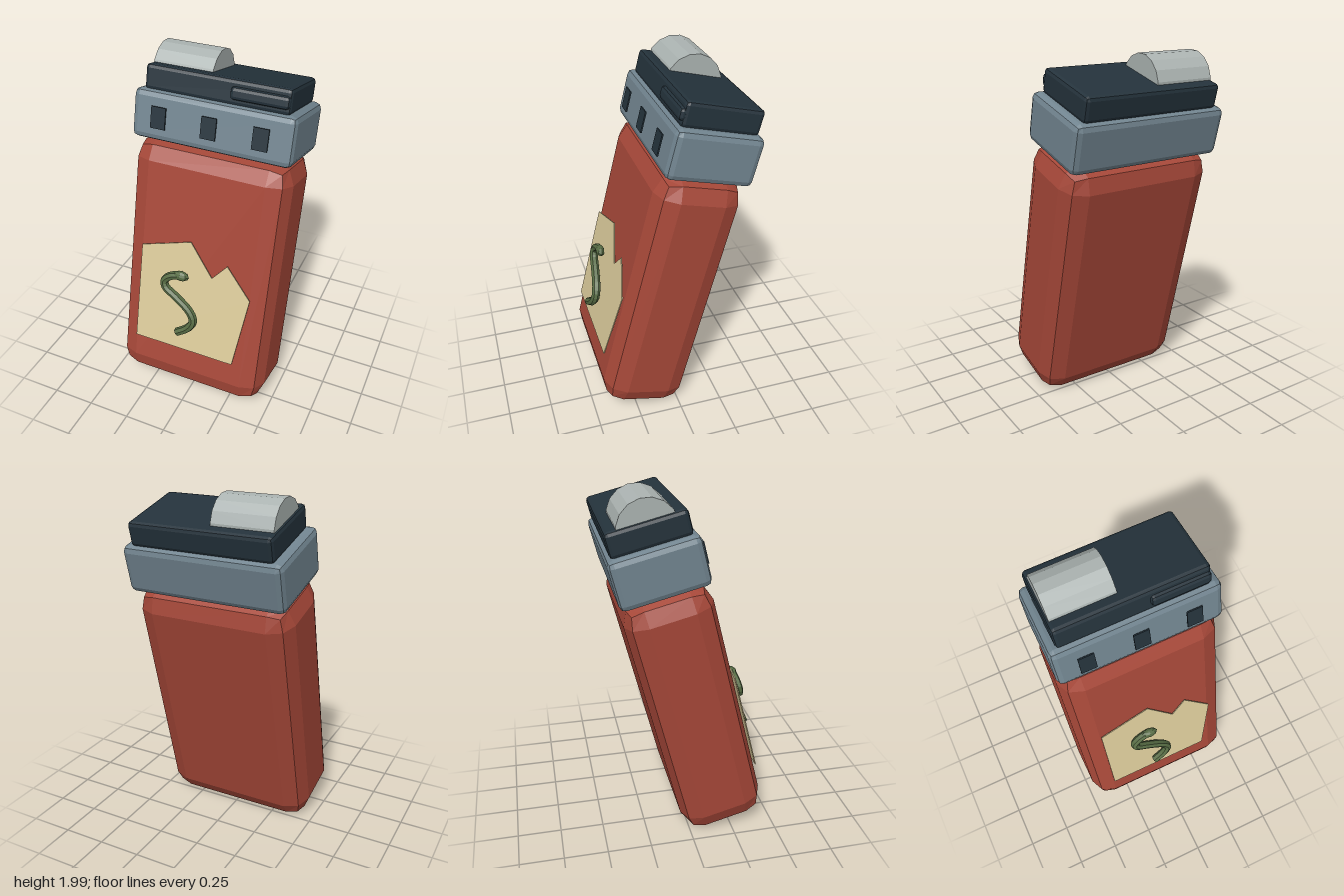
import * as THREE from 'three';

const paint = (name, color, side = THREE.FrontSide) => {
  const m = new THREE.MeshStandardMaterial({ color, side });
  m.name = name;
  return m;
};

// Faceted normals for crisp low-poly shading
function faceted(geometry) {
  const g = geometry.toNonIndexed();
  g.computeVertexNormals();
  return g;
}

// Box whose edges are bevelled with two facets of radius r
function bevelBox(w, h, d, r) {
  const g = new THREE.BoxGeometry(1, 1, 1, 3, 3, 3);
  const p = g.attributes.position;
  const v = new THREE.Vector3();
  const dir = new THREE.Vector3();
  const onFace = (c) => (Math.abs(c) > 0.4 ? Math.sign(c) : 0);
  for (let i = 0; i < p.count; i++) {
    v.fromBufferAttribute(p, i);
    dir.set(onFace(v.x), onFace(v.y), onFace(v.z)).normalize();
    p.setXYZ(i,
      Math.sign(v.x) * (w / 2 - r) + dir.x * r,
      Math.sign(v.y) * (h / 2 - r) + dir.y * r,
      Math.sign(v.z) * (d / 2 - r) + dir.z * r);
  }
  return faceted(g);
}

export function createModel() {
  const red = paint('red casing', 0xa54738);
  const steel = paint('blue grey collar', 0x71848f);
  const dark = paint('dark slate', 0x24323b);
  const silver = paint('silver wheel', 0xabb3b1);
  const cream = paint('cream label', 0xd9c999);
  const green = paint('snake green', 0x566b43);

  const model = new THREE.Group();
  const lighter = new THREE.Group();
  lighter.name = 'lighter';
  lighter.rotation.x = -THREE.MathUtils.degToRad(14); // leans backwards
  model.add(lighter);

  const add = (name, geometry, material, x = 0, y = 0, z = 0, parent = lighter) => {
    const mesh = new THREE.Mesh(geometry, material);
    mesh.name = name;
    mesh.position.set(x, y, z);
    parent.add(mesh);
    return mesh;
  };

  // Casing, collar and cap
  add('body', bevelBox(0.93, 1.5, 0.494, 0.12), red, 0, 0.732, 0.227);
  add('collar', bevelBox(0.93, 0.275, 0.49, 0.035), steel, 0, 1.618, 0.23);
  add('cap', bevelBox(0.83, 0.14, 0.434, 0.022), dark, 0, 1.818, 0.23);
  add('button', bevelBox(0.325, 0.07, 0.05, 0.02), dark, 0.248, 1.816, 0.442);

  // Spark wheel, lying along x
  const wheel = new THREE.CylinderGeometry(0.16, 0.16, 0.35, 16);
  wheel.rotateZ(Math.PI / 2);
  add('sparkWheel', faceted(wheel), silver, -0.225, 1.84, 0.23);

  // Vent plates on the collar front
  for (const x of [-0.296, 0, 0.292]) {
    add('vent', new THREE.BoxGeometry(0.087, 0.12, 0.008), dark, x, 1.616, 0.493);
  }

  // Torn paper label
  const outline = [
    [-0.34, 0.251], [0.29, 0.251], [0.35, 0.689], [0.195, 0.863],
    [0.11, 0.765], [-0.037, 0.951], [-0.34, 0.858],
  ].map(([x, y]) => new THREE.Vector2(x, y));
  const label = new THREE.ExtrudeGeometry(new THREE.Shape(outline), { depth: 0.006, bevelEnabled: false });
  add('label', label, cream, 0, 0, 0.487);

  // Little snake on the label
  const snake = new THREE.Group();
  snake.name = 'snake';
  snake.position.z = 0.529;
  lighter.add(snake);
  const path = new THREE.CatmullRomCurve3([
    [-0.058, 0.378], [0.01, 0.428], [0.037, 0.482], [0.01, 0.537], [-0.085, 0.608],
    [-0.153, 0.652], [-0.164, 0.69], [-0.127, 0.728], [-0.058, 0.75],
  ].map(([x, y]) => new THREE.Vector3(x, y, 0)));
  add('snakeBody', faceted(new THREE.TubeGeometry(path, 28, 0.025, 7)), green, 0, 0, 0, snake);
  const head = new THREE.SphereGeometry(1, 8, 6);
  head.scale(0.05, 0.029, 0.026);
  add('snakeHead', faceted(head), green, -0.063, 0.747, 0.002, snake);

  // Flat cap closing the tail end
  const tail = add('snakeTail', new THREE.CircleGeometry(0.025, 7), green, -0.058, 0.378, 0, snake);
  tail.quaternion.setFromUnitVectors(new THREE.Vector3(0, 0, 1), path.getTangent(0).negate());

  return model;
}
